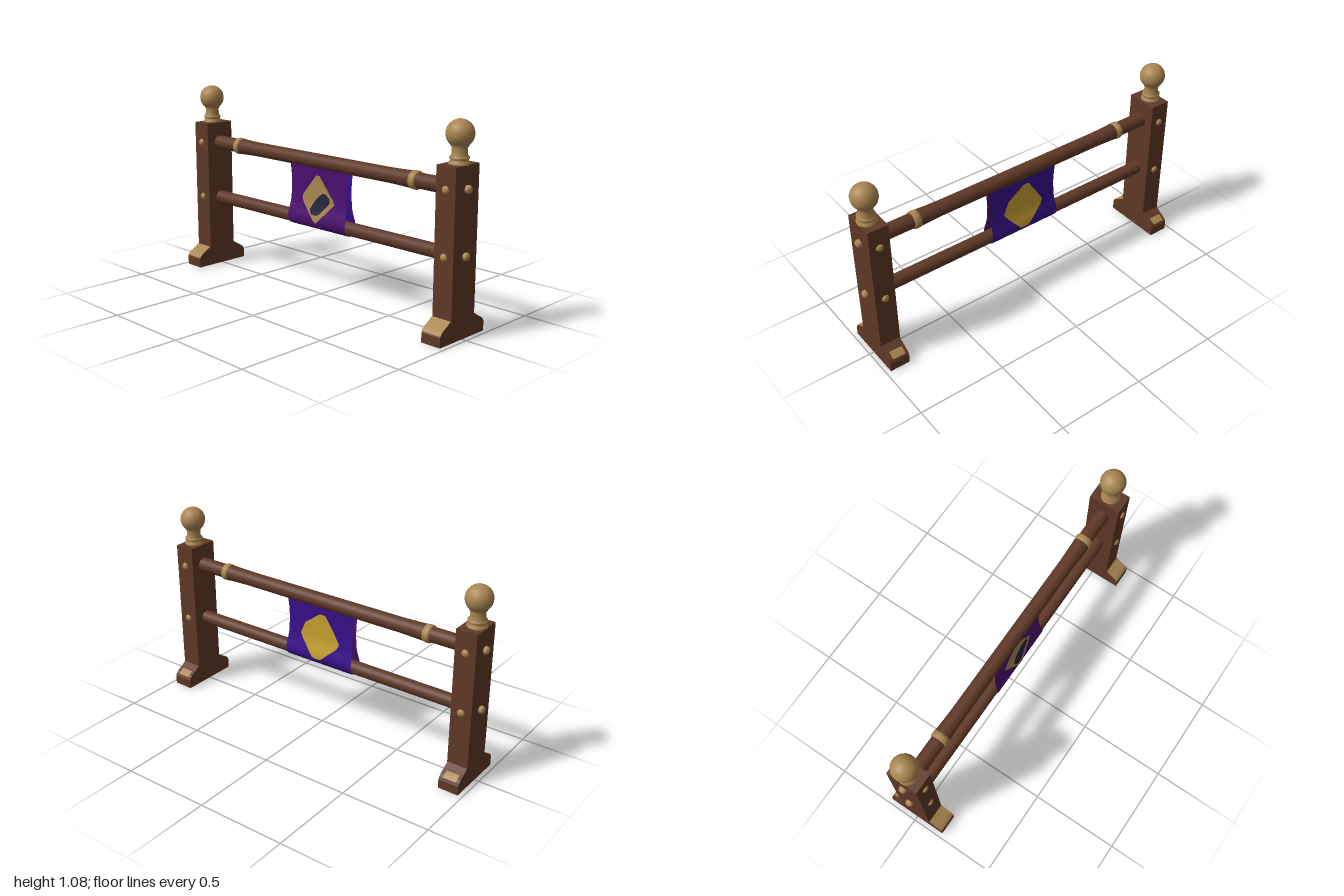
import * as THREE from 'three';

const mat = (name, color, side = THREE.FrontSide) => {
  const m = new THREE.MeshStandardMaterial({ color, side });
  m.name = name;
  return m;
};

// Surface through rows of [y, z, x0, x1], listed from top to bottom, facing +z
function strip(rows) {
  const pos = [], index = [];
  rows.forEach(([y, z, x0, x1], i) => {
    pos.push(x0, y, z, x1, y, z);
    if (i) {
      const a = 2 * i - 2;
      index.push(a, a + 2, a + 1, a + 1, a + 2, a + 3);
    }
  });
  const g = new THREE.BufferGeometry();
  g.setAttribute('position', new THREE.Float32BufferAttribute(pos, 3));
  g.setIndex(index);
  g.computeVertexNormals();
  return g;
}

// Linear lookup in rows sorted by falling first value
function lookup(rows, y, col) {
  for (let i = 1; i < rows.length; i++) {
    const [a, b] = [rows[i - 1], rows[i]];
    if (y >= b[0]) return THREE.MathUtils.lerp(a[col], b[col], (a[0] - y) / (a[0] - b[0]));
  }
  return rows[rows.length - 1][col];
}

// Half of the hanging cloth: y, z, half width
const CLOTH = [
  [0.725, 0.022, 0.217], [0.67, 0.019, 0.212], [0.6, 0.018, 0.209], [0.52, 0.021, 0.212],
  [0.48, 0.029, 0.215], [0.45, 0.038, 0.218], [0.42, 0.044, 0.218], [0.395, 0.038, 0.217],
  [0.378, 0.024, 0.216], [0.368, 0, 0.215],
];

// Thin emblem lying on the cloth, from rows of [y, x0, x1]
function emblem(rows, lift) {
  const out = [], top = rows[0][0], bottom = rows[rows.length - 1][0];
  const ys = [...rows, ...CLOTH].map((r) => r[0]).filter((y) => y <= top && y >= bottom);
  for (const y of [...new Set(ys)].sort((a, b) => b - a))
    out.push([y, lookup(CLOTH, y, 1) + lift, lookup(rows, y, 1), lookup(rows, y, 2)]);
  return strip(out);
}

export function createModel() {
  const root = new THREE.Group();
  root.name = 'hurdleFence';
  const wood = mat('brown wood', 0x5e3826);
  const tan = mat('tan trim', 0xa98650, THREE.DoubleSide);
  const purple = mat('front purple cloth', 0x4a0f70, THREE.DoubleSide);
  const violet = mat('back violet cloth', 0x380f8a, THREE.DoubleSide);
  const navy = mat('dark emblem', 0x23253a, THREE.DoubleSide);
  const gold = mat('gold emblem', 0xc4a02e, THREE.DoubleSide);

  const add = (parent, name, geometry, material, x = 0, y = 0, z = 0) => {
    const m = new THREE.Mesh(geometry, material);
    m.name = name;
    m.position.set(x, y, z);
    parent.add(m);
    return m;
  };
  const lathe = (pts, n = 24) => new THREE.LatheGeometry(pts.map((p) => new THREE.Vector2(...p)), n);

  // Foot profile in z and y, extruded across the post
  const half = [[0.172, 0], [0.173, 0.05], [0.165, 0.065], [0.15, 0.078], [0.12, 0.095], [0.09, 0.115]];
  const outline = [...half, ...half.map(([z, y]) => [-z, y]).reverse()];
  const footGeo = new THREE.ExtrudeGeometry(
    new THREE.Shape(outline.map((p) => new THREE.Vector2(...p))), { depth: 0.114, bevelEnabled: false });
  footGeo.translate(0, 0, -0.057).rotateY(Math.PI / 2);

  // Worn trim on the foot slopes
  const slope = half.slice(1).reverse().map(([z, y]) => [y, z]);
  const footPatch = (ys, x0, x1) =>
    strip(ys.map((y) => [y + 0.002, lookup(slope, y, 1) + 0.002, x0, x1]));

  // Turned finial: neck rings and ball
  const ball = [];
  for (let i = 0; i <= 14; i++) {
    const a = -0.85 + (i / 14) * (Math.PI / 2 + 0.85);
    ball.push([Math.max(0.0001, 0.07 * Math.cos(a)), 1.01 + 0.07 * Math.sin(a)]);
  }
  const finialGeo = lathe([
    [0.053, 0.863], [0.053, 0.872], [0.046, 0.879], [0.045, 0.888], [0.049, 0.892], [0.049, 0.9],
    [0.04, 0.906], [0.038, 0.945], [0.044, 0.95], [0.044, 0.957], ...ball]);

  // Domed peg pointing along +y
  const pegGeo = lathe([[0.021, -0.01], [0.021, 0.008], [0.016, 0.015], [0.008, 0.019], [0.0001, 0.02]], 14);

  for (const s of [-1, 1]) {
    const post = new THREE.Group();
    post.name = s > 0 ? 'leftPost' : 'rightPost';
    post.position.x = s * 0.917;
    root.add(post);
    add(post, 'postBoard', new THREE.BoxGeometry(0.116, 0.765, 0.18), wood, 0, 0.4825, 0);
    add(post, 'foot', footGeo, wood);
    add(post, 'frontFootTrim', footPatch([0.113, 0.095, 0.078, 0.065, 0.056], -0.057, 0.057), tan);
    add(post, 'backFootTrim', footPatch([0.09, 0.078, 0.065], -0.035, 0.04), tan).rotation.y = Math.PI;
    add(post, 'finial', finialGeo, tan, s * 0.007);
    for (const y of [0.42, 0.75]) {
      for (const f of [-1, 1])
        add(post, 'facePeg', pegGeo, tan, 0, y, f * 0.083).rotation.x = f * Math.PI / 2;
      add(post, 'outerPeg', pegGeo, tan, s * 0.063, y, 0).rotation.z = -s * Math.PI / 2;
    }
    // Flared collar and ring on the upper rail
    const collar = lathe([[0.04, 0.5], [0.042, 0.58], [0.045, 0.65]]);
    add(root, 'railCollar', collar, wood, 0, 0.747, 0).rotation.z = -s * Math.PI / 2;
    const ring = lathe([[0.036, 0.645], [0.046, 0.645], [0.048, 0.66], [0.048, 0.675], [0.045, 0.683], [0.036, 0.683]]);
    add(root, 'railRing', ring, tan, 0, 0.747, 0).rotation.z = -s * Math.PI / 2;
  }

  // Rails
  const rail = (name, y, r) =>
    add(root, name, new THREE.CylinderGeometry(r, r, 1.74, 24), wood, 0, y, 0).rotation.z = Math.PI / 2;
  rail('upperRail', 0.747, 0.04);
  rail('lowerRail', 0.413, 0.037);

  // Cloth loop between the rails, front and back halves
  const clothGeo = strip(CLOTH.map(([y, z, w]) => [y, z, -w, w]));
  add(root, 'frontCloth', clothGeo, purple);
  add(root, 'backCloth', clothGeo, violet).rotation.y = Math.PI;

  // Emblems
  add(root, 'frontDiamond', emblem([
    [0.672, -0.015, 0.01], [0.58, -0.095, 0.085], [0.555, -0.115, 0.11], [0.53, -0.122, 0.124],
    [0.505, -0.105, 0.1], [0.41, -0.005, 0.005]], 0.003), tan);
  add(root, 'frontDarkShape', emblem([
    [0.578, 0.035, 0.06], [0.555, 0.005, 0.09], [0.535, -0.015, 0.092], [0.51, -0.035, 0.07],
    [0.485, -0.05, 0.045], [0.465, -0.045, 0.025], [0.453, -0.03, 0.005]], 0.006), navy);
  add(root, 'backDiamond', emblem([
    [0.675, 0, 0.035], [0.6, -0.1, 0.085], [0.53, -0.13, 0.128], [0.5, -0.11, 0.115],
    [0.41, -0.03, 0.015]], 0.003), gold).rotation.y = Math.PI;

  return root;
}
